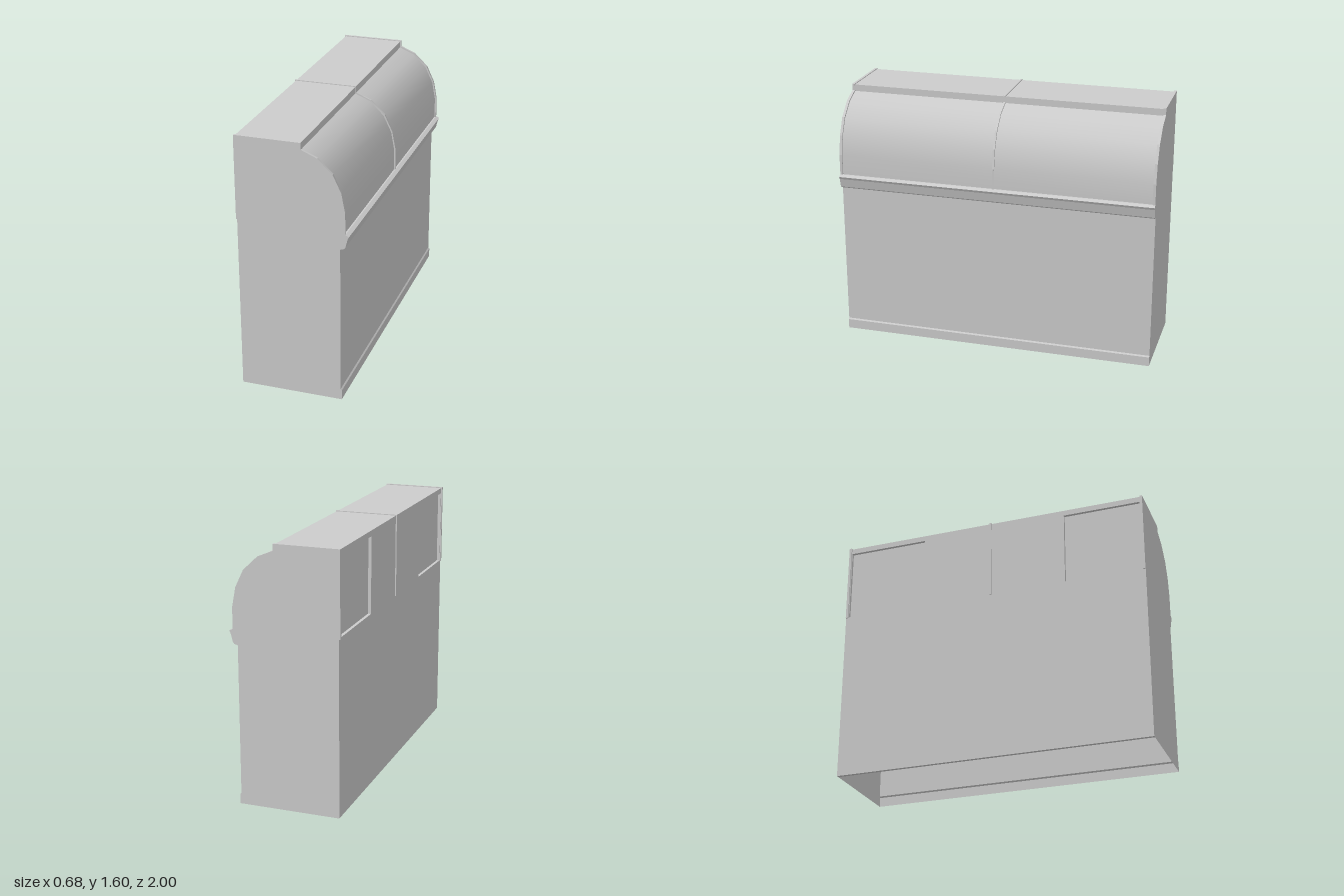
import * as THREE from 'three';

const mat = new THREE.MeshStandardMaterial({ color: 0xcccccc, side: THREE.DoubleSide });
const BACK = -0.333;

function shapeOf(points) {
  return new THREE.Shape(points.map(([x, y]) => new THREE.Vector2(x, y)));
}

// Sweep an open x-y profile straight along z.
function sweep(profile, z0, z1, smooth = false) {
  const pos = [], index = [];
  profile.forEach(([x, y], i) => {
    pos.push(x, y, z0, x, y, z1);
    if (i) {
      const a = 2 * (i - 1);
      index.push(a, a + 1, a + 2, a + 1, a + 3, a + 2);
    }
  });
  let geo = new THREE.BufferGeometry();
  geo.setAttribute('position', new THREE.Float32BufferAttribute(pos, 3));
  geo.setIndex(index);
  if (!smooth) geo = geo.toNonIndexed();
  geo.computeVertexNormals();
  return geo;
}

export function createModel() {
  const group = new THREE.Group();
  const add = (name, geo) => {
    const mesh = new THREE.Mesh(geo, mat);
    mesh.name = name;
    group.add(mesh);
    return mesh;
  };

  // Profiles, running from the back over the top and down the curved side
  const curve = [[0.06, 1.56], [0.155, 1.52], [0.245, 1.435], [0.295, 1.33], [0.318, 1.21], [0.318, 1.08]];
  const curveIn = [[0.055, 1.553], [0.15, 1.513], [0.237, 1.429], [0.287, 1.327], [0.309, 1.21], [0.309, 1.08]];
  const moulding = [[0.309, 1.08], [0.318, 1.08], [0.34, 1.07], [0.332, 1.055], [0.318, 1.0], [0.31, 0.992], [0.288, 0.985]];
  const front = [[0.288, 0.985], [0.288, 0.068], [0.296, 0.06], [0.296, 0]];

  // Long panels; the underside is open
  add('topPanel', sweep([[BACK, 1.595], [0.055, 1.595], [0.055, 1.553]], -1, 1));
  add('curvedPanel', sweep(curveIn, -1, 1, true));
  add('moulding', sweep(moulding, -1, 1));
  add('frontPanelAndPlinth', sweep(front, -1, 1));

  // End walls
  const outline = [[BACK, 0], [BACK, 1.6], [0.06, 1.6], ...curve, ...moulding.slice(1), ...front.slice(1)];
  for (const s of [1, -1]) {
    const wall = new THREE.ShapeGeometry(shapeOf(outline));
    if (s < 0) {
      wall.rotateY(Math.PI);
      wall.scale(-1, 1, 1);
      // mirrored in x, so reverse the corners
      const ids = wall.index.array;
      for (let i = 0; i < ids.length; i += 3) [ids[i], ids[i + 1]] = [ids[i + 1], ids[i]];
      wall.computeVertexNormals();
    }
    wall.translate(0, 0, s);
    add('endWall', wall);
  }

  // Thin ribs over the back, top and curve at both ends and the middle
  const ribOuter = [[-0.34, 1.085], [-0.34, 1.6], [0.06, 1.6], ...curve];
  const ribInner = [[BACK + 0.003, 1.085], [BACK + 0.003, 1.593], [0.052, 1.593], ...curveIn.map(([x, y]) => [x - 0.003, y])];
  const ribShape = shapeOf([...ribOuter, ...ribInner.reverse()]);
  for (const [z, width] of [[-1, 0.016], [-0.006, 0.012], [0.984, 0.016]]) {
    const rib = new THREE.ExtrudeGeometry(ribShape, { depth: width, bevelEnabled: false });
    add('rib', rib.translate(0, 0, z));
  }

  // Back wall with two square recesses
  const DEPTH = 0.02;
  const wall = shapeOf([[-1, 0], [1, 0], [1, 1.595], [-1, 1.595]]);
  for (const [z0, z1] of [[-0.98, -0.46], [0.46 + 0.03, 0.98]]) {
    wall.holes.push(new THREE.Path([[z0, 1.09], [z0, 1.56], [z1, 1.56], [z1, 1.09]].map(([x, y]) => new THREE.Vector2(x, y))));
    const panel = add('recessPanel', new THREE.PlaneGeometry(z1 - z0, 0.47));
    panel.rotation.y = -Math.PI / 2;
    panel.position.set(BACK + DEPTH - 0.001, 1.325, (z0 + z1) / 2);
  }
  const back = new THREE.ExtrudeGeometry(wall, { depth: DEPTH, bevelEnabled: false });
  back.rotateY(-Math.PI / 2); // shape x becomes z, depth runs toward -x
  add('backWall', back.translate(BACK + DEPTH, 0, 0));

  return group;
}
